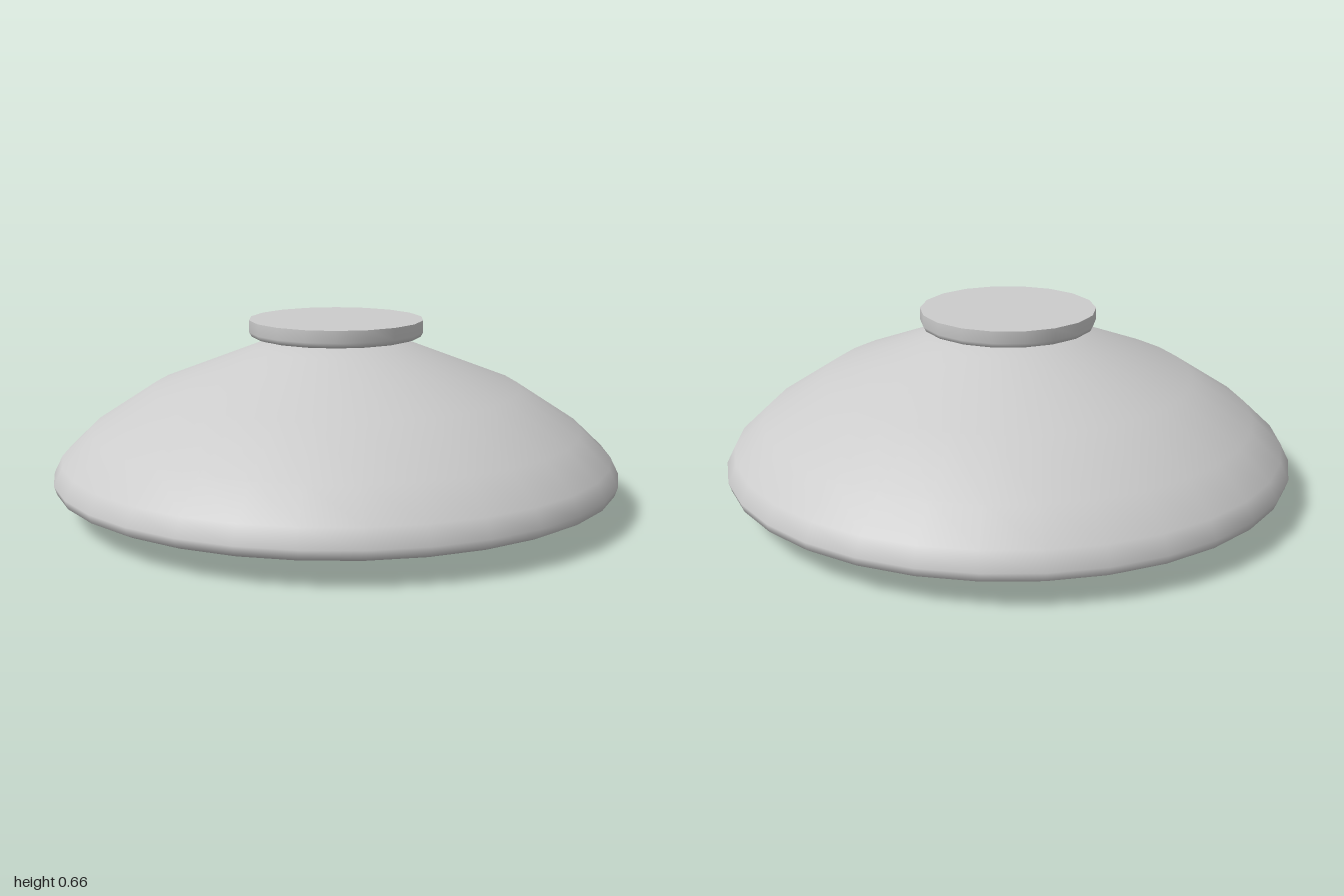
import * as THREE from 'three';

const material = new THREE.MeshStandardMaterial({ color: 0xcccccc });

function addPart(parent, name, geometry) {
  const mesh = new THREE.Mesh(geometry, material);
  mesh.name = name;
  parent.add(mesh);
  return mesh;
}

function lathe(profile, segments) {
  return new THREE.LatheGeometry(profile.map(([r, y]) => new THREE.Vector2(r, y)), segments);
}

export function createModel() {
  const lamp = new THREE.Group();
  lamp.name = 'ceilingLamp';

  // Shade: down the inner wall, round the rolled rim, up the outer wall
  addPart(lamp, 'shade', lathe([
    [0, 0.585], [0.14, 0.58], [0.28, 0.545], [0.63, 0.405], [0.83, 0.275],
    [0.92, 0.185], [0.925, 0.15], [0.907, 0.125], [0.92, 0.1], [0.945, 0.09], [0.97, 0.09],
    [0.99, 0.1], [1, 0.13], [0.97, 0.19], [0.865, 0.29], [0.65, 0.43],
    [0.29, 0.57], [0.14, 0.605], [0, 0.61],
  ], 32));

  // Ceiling mount: disc with a softened lower edge and a flat, sharp-edged top
  const mount = new THREE.Group();
  mount.name = 'ceilingMount';
  lamp.add(mount);
  addPart(mount, 'mountBody', lathe([
    [0, 0.605], [0.285, 0.605], [0.3, 0.61], [0.308, 0.625], [0.308, 0.667],
  ], 18));
  const cap = addPart(mount, 'mountTop', new THREE.CircleGeometry(0.308, 18, Math.PI / 2));
  cap.rotation.x = -Math.PI / 2;
  cap.position.y = 0.667;

  // Globe bulb hanging just below the rim
  const bulb = addPart(lamp, 'bulb', new THREE.SphereGeometry(0.283, 24, 12));
  bulb.position.y = 0.286;

  return lamp;
}
